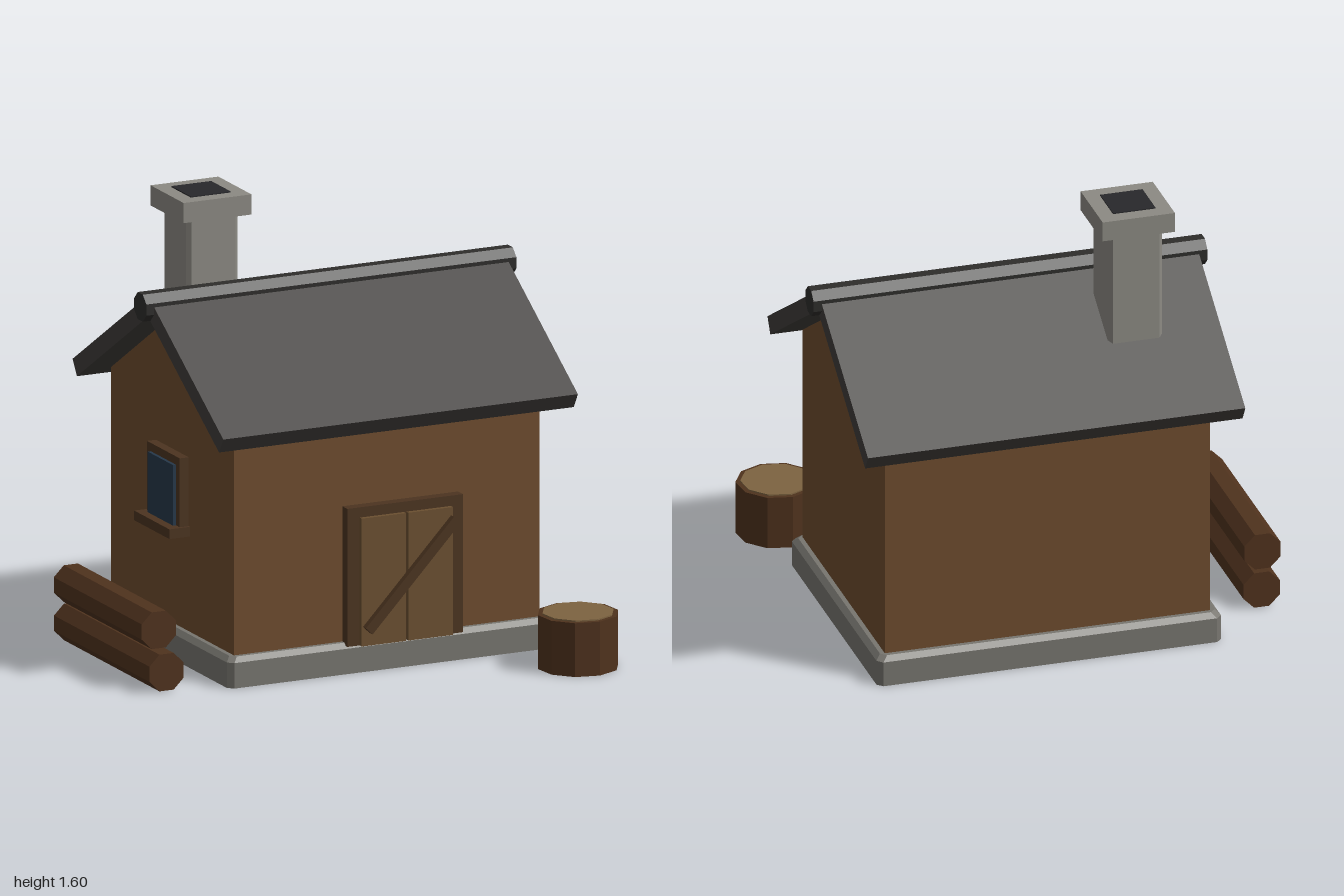
import * as THREE from 'three';

const mat = (color, side = THREE.FrontSide) =>
  new THREE.MeshStandardMaterial({ color, flatShading: true, side });

const M = {
  wall: mat(0x6e4c2e), roof: mat(0x3f3c39), ridge: mat(0x2e2d2b), trim: mat(0x4c3420),
  panel: mat(0x6b5030), stone: mat(0x77756f, THREE.DoubleSide), chimney: mat(0x8c8a83),
  flue: mat(0x28282b), glass: mat(0x26384a), bark: mat(0x4f321d), cut: mat(0x7d6340),
};

function add(parent, name, geometry, material, x = 0, y = 0, z = 0) {
  const mesh = new THREE.Mesh(geometry, material);
  mesh.name = name;
  mesh.position.set(x, y, z);
  parent.add(mesh);
  return mesh;
}

const box = (w, h, d) => new THREE.BoxGeometry(w, h, d);

// Prism along x from a z-symmetric outline: half outline [z, y], mirrored
function gablePrism(half, length) {
  const pts = [...half, ...half.slice().reverse().map(([z, y]) => [-z, y])];
  const shape = new THREE.Shape(pts.map(([z, y]) => new THREE.Vector2(z, y)));
  const geo = new THREE.ExtrudeGeometry(shape, { depth: length, bevelEnabled: false });
  return geo.translate(0, 0, -length / 2).rotateY(Math.PI / 2);
}

// Block with cut corners, open below: levels are [inset, y] from bottom to top
function chamferedBlock(a, b, c, levels) {
  const pos = [], index = [];
  for (const [inset, y] of levels) {
    const w = a - inset, d = b - inset;
    for (const [x, z] of [[w, d - c], [w - c, d], [c - w, d], [-w, d - c],
      [-w, c - d], [c - w, -d], [w - c, -d], [w, c - d]]) pos.push(x, y, z);
  }
  const n = levels.length;
  for (let l = 0; l < n - 1; l++) {
    for (let i = 0; i < 8; i++) {
      const p = l * 8 + i, q = l * 8 + (i + 1) % 8;
      index.push(p, p + 8, q, q, p + 8, q + 8);
    }
  }
  const top = (n - 1) * 8;
  for (let i = 1; i < 7; i++) index.push(top, top + i + 1, top + i);
  const geo = new THREE.BufferGeometry();
  geo.setAttribute('position', new THREE.Float32BufferAttribute(pos, 3));
  geo.setIndex(index);
  // Each face wound outward
  for (let i = 0; i < index.length; i += 3) {
    const [p, q, r] = [0, 1, 2].map(k => new THREE.Vector3().fromArray(pos, index[i + k] * 3));
    const normal = q.clone().sub(p).cross(r.clone().sub(p));
    const out = p.clone().add(q).add(r).divideScalar(3);
    out.y -= levels[0][1];
    if (normal.dot(out) < 0) [index[i + 1], index[i + 2]] = [index[i + 2], index[i + 1]];
  }
  geo.setIndex(index);
  const flat = geo.toNonIndexed();
  flat.computeVertexNormals();
  return flat;
}

function buildHouse() {
  const house = new THREE.Group();
  house.name = 'house';

  // Foundation and walls
  add(house, 'foundation', chamferedBlock(0.63, 0.525, 0.02, [[0, 0], [0, 0.092], [0.018, 0.11]]), M.stone);
  add(house, 'walls', gablePrism([[0.49, 0.11], [0.49, 0.915], [0.001, 1.222]], 1.19), M.wall);

  // Roof slabs and ridge beam
  const roofShape = new THREE.Shape([[0, 1.305], [-0.6, 0.93], [-0.566, 0.875], [0, 1.229],
    [0.566, 0.875], [0.6, 0.93]].map(p => new THREE.Vector2(...p)));
  const roofGeo = new THREE.ExtrudeGeometry(roofShape, { depth: 1.38, bevelEnabled: false });
  add(house, 'roof', roofGeo.translate(0, 0, -0.69).rotateY(Math.PI / 2), M.roof);
  const ridge = new THREE.CylinderGeometry(0.053, 0.053, 1.44, 8).rotateY(Math.PI / 8).rotateZ(Math.PI / 2);
  add(house, 'ridgeBeam', ridge, M.ridge, 0, 1.268, 0);

  // Chimney
  const chimney = new THREE.Group();
  chimney.name = 'chimney';
  chimney.position.set(-0.377, 0, -0.218);
  house.add(chimney);
  add(chimney, 'chimneyShaft', chamferedBlock(0.1, 0.1, 0.015, [[0, 0.98], [0, 1.53]]), M.chimney);
  add(chimney, 'chimneyCap', box(0.264, 0.073, 0.264), M.chimney, 0, 1.5615, 0);
  add(chimney, 'flueOpening', box(0.155, 0.02, 0.155), M.flue, 0, 1.592, 0);

  // Door: solid frame, two proud leaves, diagonal brace
  const door = new THREE.Group();
  door.name = 'door';
  door.position.set(0.052, 0.1, 0.49);
  house.add(door);
  add(door, 'doorFrame', box(0.45, 0.5, 0.06), M.trim, 0, 0.25, 0.01);
  for (const s of [-1, 1]) add(door, 'doorLeaf', box(0.173, 0.463, 0.05), M.panel, s * 0.091, 0.2315, 0.032);
  const brace = add(door, 'doorBrace', box(0.5, 0.036, 0.025), M.trim, 0.012, 0.24, 0.068);
  brace.rotation.z = 0.815;

  // Window on the left-hand gable
  const win = new THREE.Group();
  win.name = 'window';
  win.position.set(-0.595, 0.6, 0);
  house.add(win);
  add(win, 'windowFrame', box(0.055, 0.27, 0.26), M.trim, -0.0075, 0.005, 0);
  add(win, 'windowPane', box(0.05, 0.22, 0.2), M.glass, -0.022, 0, 0);
  add(win, 'windowSill', box(0.1, 0.035, 0.28), M.trim, -0.03, -0.127, 0);

  house.position.set(-0.06, 0, 0);
  house.rotation.y = Math.PI / 6;
  return house;
}

export function createModel() {
  const model = new THREE.Group();
  model.name = 'cabin';
  model.add(buildHouse());

  // Stacked logs
  for (const [x, y, z, length] of [[-0.75, 0.07, 0.485, 0.76], [-0.765, 0.212, 0.472, 0.7]]) {
    const log = add(model, 'log', new THREE.CylinderGeometry(0.072, 0.072, length, 8)
      .rotateY(Math.PI / 8).rotateX(Math.PI / 2), M.bark, x, y, z);
    log.rotation.y = Math.PI / 6;
  }

  // Chopping stump
  add(model, 'stump', new THREE.CylinderGeometry(0.145, 0.145, 0.195, 10), M.bark, 0.852, 0.0975, 0.38);
  add(model, 'stumpTop', new THREE.CylinderGeometry(0.128, 0.128, 0.02, 10), M.cut, 0.852, 0.19, 0.38);
  return model;
}
